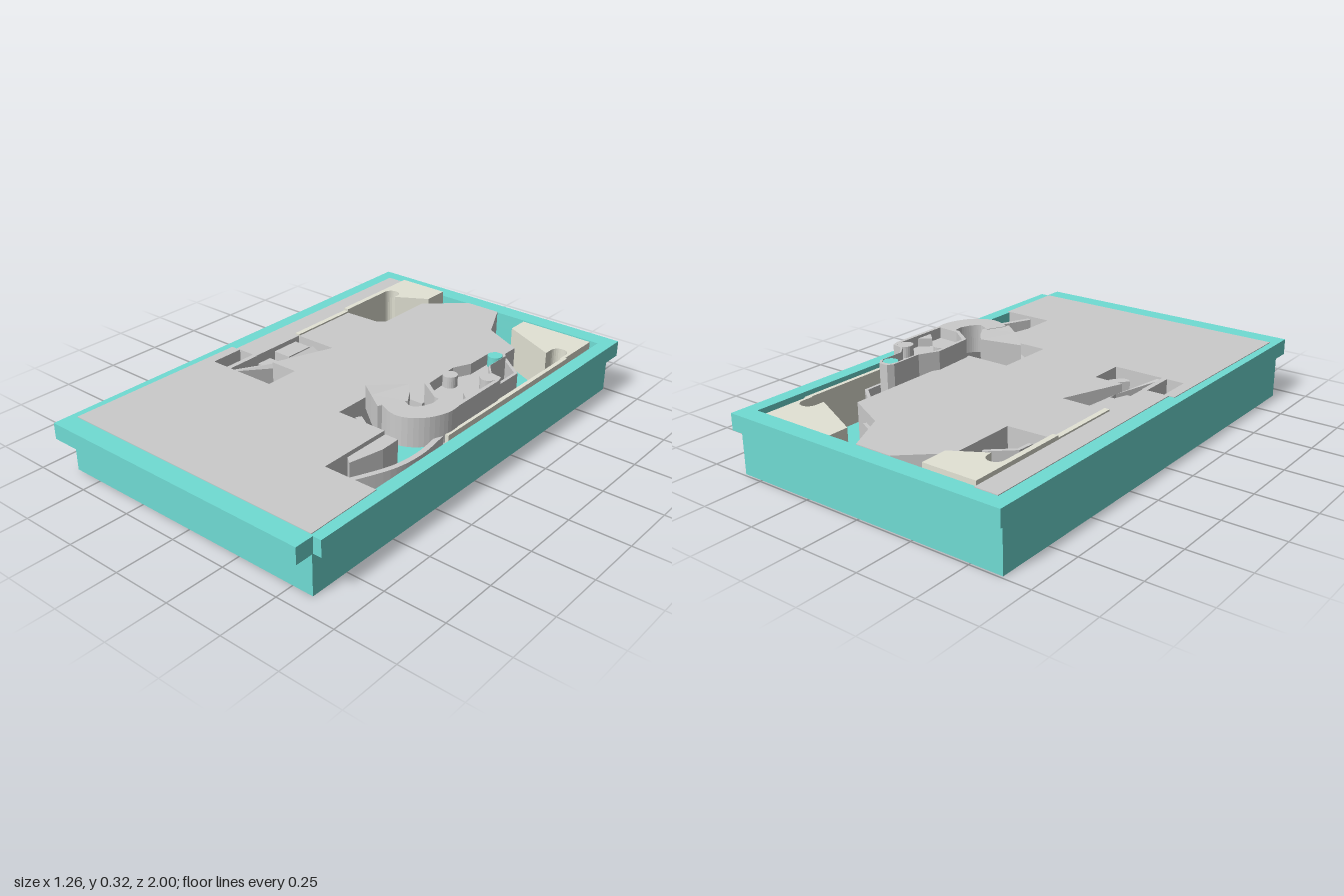
import * as THREE from 'three';

const mat = (color) => new THREE.MeshStandardMaterial({ color, flatShading: true, side: THREE.DoubleSide });
const teal = mat(0x70dcd4), grey = mat(0xcccccc), cream = mat(0xe3e3d5);

// Closed plan outline from [x, z] points
const outline = (pts, Type = THREE.Shape) => new Type(pts.map(([x, z]) => new THREE.Vector2(x, -z)));
const rect = (x0, z0, x1, z1) => [[x0, z0], [x1, z0], [x1, z1], [x0, z1]];
const FLOOR = 0.05, TOP = 0.243;

export function createModel() {
  const model = new THREE.Group();

  // Extrudes a plan outline upward between two heights
  function slab(name, pts, y0, y1, material, holes = []) {
    const shape = outline(pts);
    holes.forEach((h) => shape.holes.push(outline(h, THREE.Path)));
    const geo = new THREE.ExtrudeGeometry(shape, { depth: y1 - y0, bevelEnabled: false });
    geo.rotateX(-Math.PI / 2).translate(0, y0, 0);
    const mesh = new THREE.Mesh(geo, material);
    mesh.name = name;
    model.add(mesh);
    return mesh;
  }
  // Strip of constant width along a curve through [x, z] points
  function strip(name, pts, width, y0, y1, material, smooth = false) {
    const v = pts.map(([x, z]) => new THREE.Vector2(x, z));
    const line = smooth ? new THREE.SplineCurve(v).getPoints(20) : v;
    const a = [], b = [];
    line.forEach((p, i) => {
      const d = line[Math.min(i + 1, line.length - 1)].clone().sub(line[Math.max(i - 1, 0)]).normalize();
      a.push([p.x - d.y * width / 2, p.y + d.x * width / 2]);
      b.unshift([p.x + d.y * width / 2, p.y - d.x * width / 2]);
    });
    return slab(name, [...a, ...b], y0, y1, material);
  }
  function pin(name, x, z, r, y0, y1, material) {
    const mesh = new THREE.Mesh(new THREE.CylinderGeometry(r, r, y1 - y0, 24), material);
    mesh.position.set(x, (y0 + y1) / 2, z);
    mesh.name = name;
    model.add(mesh);
  }
  const roundEnd = (cx, cz, r) => Array.from({ length: 13 }, (_, i) => {
    const t = Math.PI + (i / 12) * Math.PI;
    return [cx + r * Math.cos(t), cz + r * Math.sin(t)];
  });

  // Tray: floor, walls and overhanging rim with a notched corner
  const pocket = rect(-0.57, -0.925, 0.572, 0.88);
  slab('trayFloor', rect(-0.632, -0.99, 0.59, 0.92), 0, FLOOR, teal);
  slab('trayWalls', rect(-0.632, -0.99, 0.59, 0.92), FLOOR, 0.172, teal, [pocket]);
  slab('trayRim', [[-0.632, -1], [0.63, -1], [0.63, 0.92], [0.595, 0.92], [0.595, 1], [-0.632, 1]],
    0.172, 0.24, teal, [pocket]);

  // Main plate with open recesses at the back and right, and windows on the left
  slab('mainPlate', [
    [-0.572, -0.935], [-0.475, -0.935], [-0.475, -0.48], [-0.26, -0.49], [-0.26, -0.78], [-0.1, -0.925],
    [0.06, -0.925], [0.15, -0.74], [0.33, -0.65], [0.33, 0], [0.13, 0], [0.13, 0.255], [0.35, 0.255],
    [0.35, 0.585], [0.58, 0.585], [0.585, 0.915], [-0.6, 0.915], [-0.595, 0.11], [-0.57, 0.11],
  ], FLOOR, TOP, grey, [
    [[-0.455, -0.155], [-0.262, -0.155], [-0.36, 0.108], [-0.235, 0.108], [-0.235, 0.258],
      [-0.55, 0.258], [-0.55, 0.108], [-0.455, 0.108]],
  ]);

  // Left recess: raised slab with a round-ended slot, side rail and angled rib
  slab('leftSlab', [
    [-0.475, -0.925], [-0.245, -0.925], [-0.245, -0.81], [-0.38, -0.73],
    ...roundEnd(-0.417, -0.75, 0.036).reverse(), [-0.452, -0.48], [-0.475, -0.48],
  ], FLOOR, 0.26, cream);
  strip('leftRail', [[-0.463, -0.48], [-0.463, -0.155]], 0.022, 0.2, 0.25, cream);
  strip('leftRib', [[-0.36, -0.48], [-0.355, -0.55], [-0.26, -0.635]], 0.016, FLOOR, 0.2, grey);

  // Left window: two blocks, sloping wedge and braces
  slab('leftBlock', rect(-0.452, -0.13, -0.37, 0), FLOOR, 0.225, grey);
  slab('leftBlock', rect(-0.452, 0.03, -0.37, 0.1), FLOOR, 0.205, grey);
  const ramp = slab('leftRamp', [[-0.37, -0.15], [-0.265, -0.155], [-0.43, 0.255], [-0.45, 0.255], [-0.37, 0.05]],
    FLOOR, 0.235, grey);
  const rp = ramp.geometry.attributes.position;
  for (let i = 0; i < rp.count; i++) {
    if (rp.getY(i) > 0.2) rp.setY(i, 0.235 - Math.max(0, rp.getX(i) + 0.4) * 0.5);
  }
  strip('leftPost', [[-0.463, 0.108], [-0.463, 0.258]], 0.022, FLOOR, TOP, grey);
  strip('leftBrace', [[-0.295, 0.258], [-0.24, 0.19]], 0.04, FLOOR, 0.2, grey);

  // Right recess: corner slab, long rail and thin guide walls
  slab('rightSlab', [
    [0.2, -0.925], [0.535, -0.925], [0.535, -0.7], [0.521, -0.7],
    ...roundEnd(0.485, -0.75, 0.036).reverse(), [0.449, -0.71], [0.2, -0.83],
  ], FLOOR, 0.235, cream);
  strip('rightRail', [[0.535, -0.72], [0.535, 0.12]], 0.018, FLOOR, 0.235, cream);
  strip('rightRib', [[0.14, -0.755], [0.24, -0.705]], 0.014, FLOOR, 0.2, grey);
  strip('rightRib', [[0.33, -0.58], [0.438, -0.495], [0.438, -0.33]], 0.014, FLOOR, 0.22, grey);

  // Lever: hollow body with a raised wall and pins
  const body = [
    [0.355, -0.42], [0.37, -0.445], [0.41, -0.445], [0.43, -0.42], [0.43, -0.31], [0.47, -0.26], [0.52, -0.25],
    [0.53, -0.22], [0.53, 0.05], [0.42, 0.045], [0.325, -0.02], [0.315, -0.2], [0.355, -0.28],
  ];
  const inset = body.map(([x, z]) => [0.42 + (x - 0.42) * 0.86, -0.2 + (z + 0.2) * 0.93]);
  slab('leverBody', body, FLOOR, 0.275, grey);
  slab('leverWall', body, 0.275, 0.322, grey, [inset]);
  pin('leverPivot', 0.393, -0.4, 0.03, 0.27, 0.322, teal);
  pin('leverPin', 0.482, -0.22, 0.033, 0.27, 0.322, grey);
  pin('leverPin', 0.355, -0.145, 0.03, 0.27, 0.322, grey);
  slab('leverStop', [[0.47, -0.07], [0.515, -0.11], [0.515, -0.03]], 0.27, 0.31, grey);

  // Curved hook ending in a sloping tip
  strip('leverHook', [[0.485, 0.04], [0.487, 0.1], [0.455, 0.17], [0.395, 0.205], [0.32, 0.175]],
    0.09, 0.2, 0.322, grey, true);
  const tip = slab('leverTip', [[0.135, 0.105], [0.28, 0.02], [0.32, 0.065], [0.36, 0.13], [0.3, 0.235], [0.225, 0.18]],
    0.2, 0.322, grey);
  const tp = tip.geometry.attributes.position;
  for (let i = 0; i < tp.count; i++) {
    if (tp.getY(i) > 0.3) tp.setY(i, Math.min(0.32, 0.3 + (tp.getX(i) - 0.135) * 0.2));
  }
  strip('tipBrace', [[0.16, 0.175], [0.285, 0.255]], 0.025, FLOOR, 0.2, grey);

  // Springy arc and side wedge below the hook
  strip('springArc', [[0.515, 0.13], [0.535, 0.28], [0.52, 0.42], [0.455, 0.583]], 0.022, FLOOR, 0.23, grey, true);
  slab('sideWedge', [[0.35, 0.25], [0.41, 0.25], [0.412, 0.34], [0.38, 0.49], [0.35, 0.465]], FLOOR, 0.225, grey);

  [ramp, tip].forEach((m) => m.geometry.computeVertexNormals());
  return model;
}
